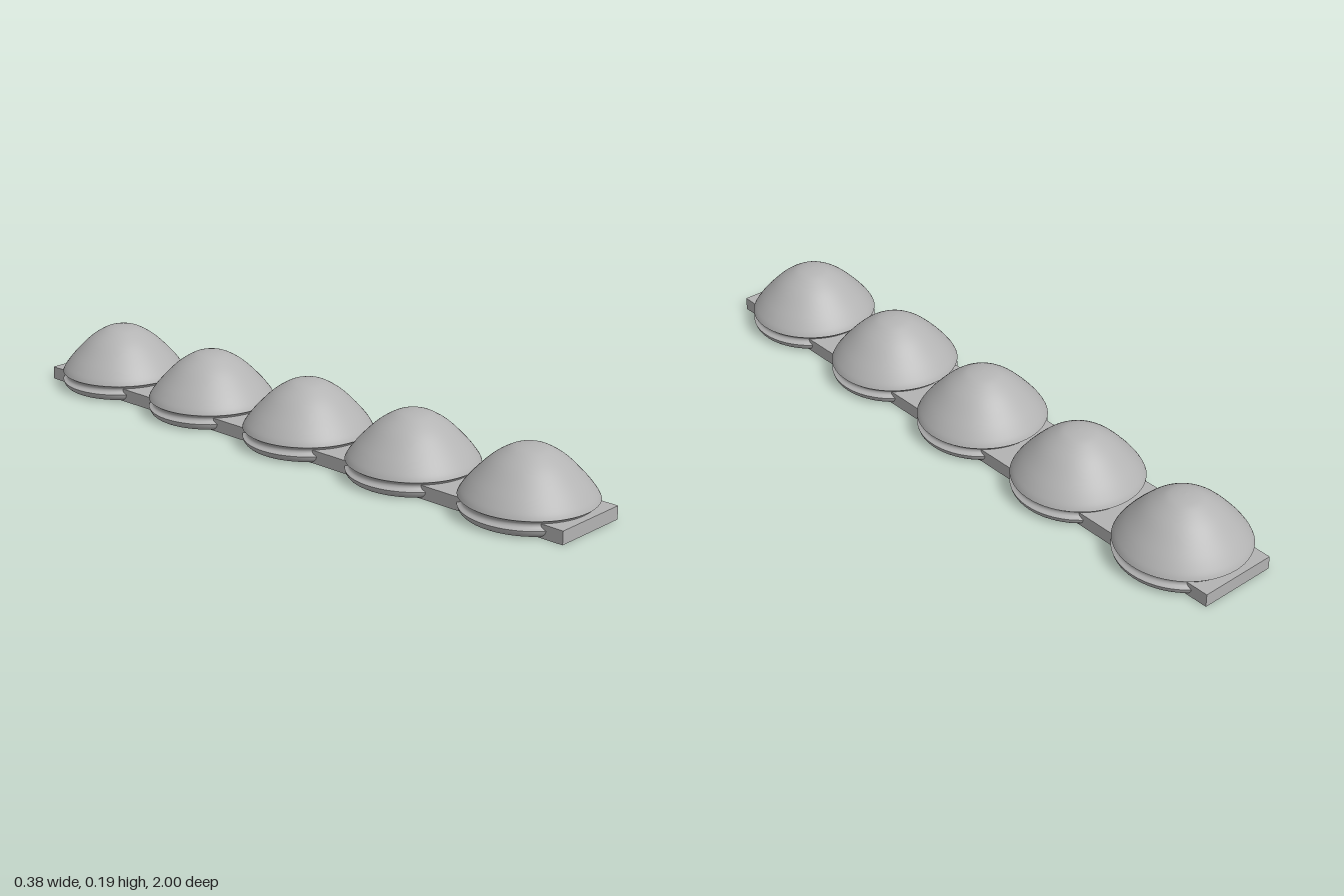
import * as THREE from 'three';
import { mergeGeometries } from 'three/addons/utils/BufferGeometryUtils.js';

const grey = new THREE.MeshStandardMaterial({ color: 0xb3b3b3 });
grey.name = 'plain grey';

const SPACING = 0.4, COUNT = 5, HOLE = 0.117;
const centres = Array.from({ length: COUNT }, (_, i) => (i - (COUNT - 1) / 2) * SPACING);

// Smooth lathe through a few [radius, height] points; curved pieces are splined
function turn(points, steps = 0) {
  let p = points.map(([r, y]) => new THREE.Vector2(r, y));
  if (steps) p = new THREE.SplineCurve(p).getPoints(steps);
  p.forEach(v => { v.x = Math.max(v.x, 0); });
  return new THREE.LatheGeometry(p, 64);
}

// Hollow dome with a grooved foot; separate pieces keep the edges sharp
function domeGeometry() {
  const cavity = [];
  for (let i = 0; i <= 14; i++) {
    const a = (i / 14) * Math.PI / 2;
    cavity.push([HOLE * Math.sin(a), 0.1 * Math.cos(a)]);
  }
  return mergeGeometries([
    turn(cavity),
    turn([[HOLE, 0], [0.167, 0]]),
    turn([[0.167, 0], [0.178, 0.004], [0.186, 0.012], [0.19, 0.023]], 8),
    turn([[0.19, 0.023], [0.18, 0.029], [0.177, 0.037], [0.181, 0.044], [0.19, 0.05]], 12),
    turn([[0.19, 0.05], [0.18, 0.068], [0.152, 0.103], [0.105, 0.15],
      [0.06, 0.18], [0.03, 0.19], [0, 0.193]], 28),
  ]);
}

// Flat strip pierced under each dome
function stripGeometry() {
  const s = new THREE.Shape([[-0.12, -1], [0.12, -1], [0.12, 1], [-0.12, 1]]
    .map(([x, y]) => new THREE.Vector2(x, y)));
  for (const z of centres) s.holes.push(new THREE.Path().absarc(0, z, HOLE, 0, Math.PI * 2, true));
  return new THREE.ExtrudeGeometry(s, { depth: 0.039, bevelEnabled: false, curveSegments: 64 })
    .rotateX(-Math.PI / 2);
}

export function createModel() {
  const model = new THREE.Group();
  model.name = 'domeStrip';

  const strip = new THREE.Mesh(stripGeometry(), grey);
  strip.name = 'baseStrip';
  model.add(strip);

  const geometry = domeGeometry();
  centres.forEach((z, i) => {
    const dome = new THREE.Mesh(geometry, grey);
    dome.name = `dome${i + 1}`;
    dome.position.z = z;
    model.add(dome);
  });
  return model;
}
